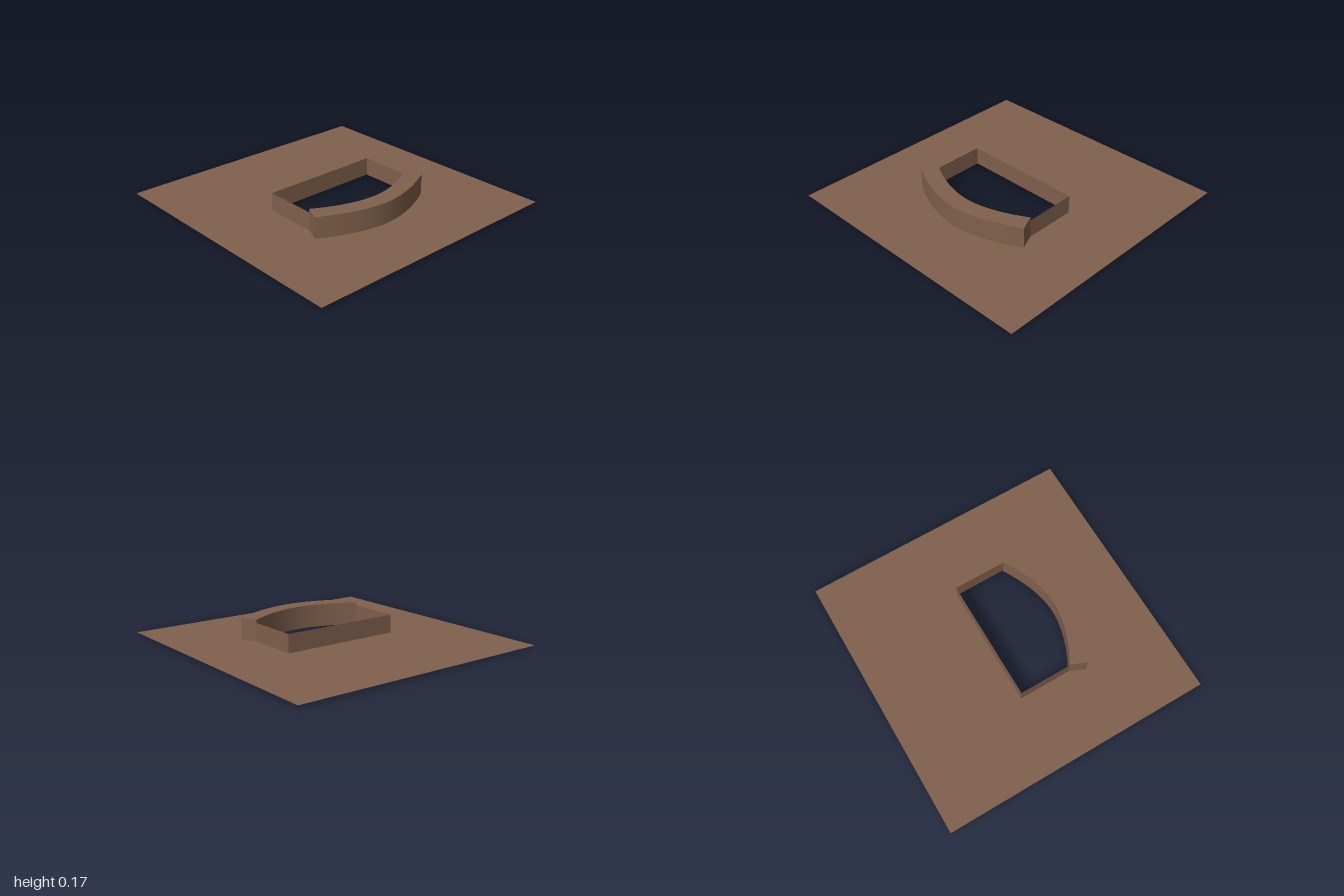
import * as THREE from 'three';

const SHEET_Y = 0.012;

// Mirrored arc in plan, from +x to -x; shape y is -z
function arc(endX, endZ, controlX, midZ, steps = 16) {
  const half = new THREE.QuadraticBezierCurve(
    new THREE.Vector2(endX, -endZ),
    new THREE.Vector2(controlX, -midZ),
    new THREE.Vector2(0, -midZ)
  ).getPoints(steps);
  const mirrored = half.slice(0, -1).reverse().map((p) => new THREE.Vector2(-p.x, p.y));
  return [...half, ...mirrored];
}

export function createModel() {
  const group = new THREE.Group();
  const brown = new THREE.MeshStandardMaterial({ color: 0x80604c, side: THREE.DoubleSide });

  const add = (name, geometry, y = 0) => {
    const mesh = new THREE.Mesh(geometry, brown);
    mesh.name = name;
    mesh.position.y = y;
    group.add(mesh);
    return mesh;
  };

  const inner = arc(0.45, 0.255, 0.2, 0.4);
  const outer = arc(0.5, 0.37, 0.22, 0.525);

  // Flat square sheet with a bow-fronted opening
  const sheet = new THREE.Shape([
    new THREE.Vector2(-1, -1), new THREE.Vector2(1, -1),
    new THREE.Vector2(1, 1), new THREE.Vector2(-1, 1),
  ]);
  sheet.holes.push(new THREE.Path([
    ...inner, new THREE.Vector2(-0.45, 0.13), new THREE.Vector2(0.45, 0.13),
  ]));
  add('groundSheet', new THREE.ShapeGeometry(sheet).rotateX(-Math.PI / 2), SHEET_Y);

  // Thick curved front rim
  const rim = new THREE.Shape([...outer, ...inner.slice().reverse()]);
  add('curvedRim', new THREE.ExtrudeGeometry(rim, { depth: 0.168, bevelEnabled: false })
    .rotateX(-Math.PI / 2));

  // Thin upright walls around the sides and back of the opening
  const wallHeight = 0.133;
  const wallY = SHEET_Y + wallHeight / 2;
  add('backWall', new THREE.PlaneGeometry(0.9, wallHeight).rotateY(Math.PI), wallY)
    .position.z = -0.13;
  for (const side of [1, -1]) {
    const wall = add(side > 0 ? 'leftWall' : 'rightWall',
      new THREE.PlaneGeometry(0.385, wallHeight).rotateY(side * Math.PI / 2), wallY);
    wall.position.x = side * 0.45;
    wall.position.z = 0.0625;
  }

  return group;
}
